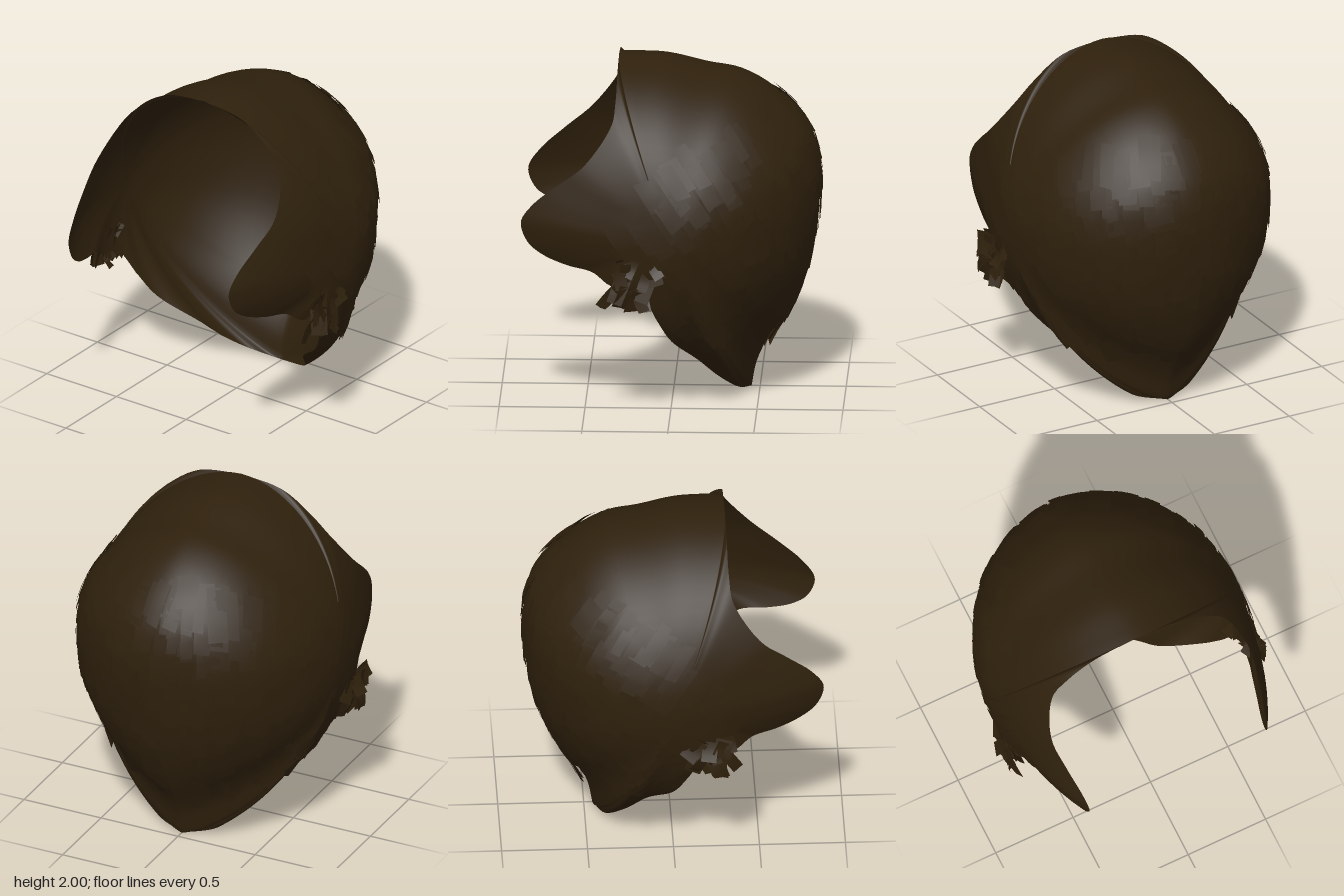
import * as THREE from 'three';
import { mergeGeometries, mergeVertices } from 'three/addons/utils/BufferGeometryUtils.js';

const CENTRE = new THREE.Vector3(0, 1.1, 0);
const HALF_WIDTH = 0.79;

// Outline of one half as [z, y, x]: hairline, sideburn and nape edge
const FRONT = [
  [0.32, 2.0, 0], [0.32, 1.96, 0.27], [0.325, 1.83, 0.46], [0.345, 1.72, 0.56], [0.5, 1.5, 0.64],
  [0.66, 1.37, 0.62], [0.8, 1.25, 0.59], [0.87, 1.14, 0.575], [0.83, 1.02, 0.58], [0.74, 0.95, 0.6],
  [0.6, 0.9, 0.64], [0.45, 0.87, 0.68], [0.35, 0.8, 0.71], [0.16, 0.74, 0.73], [0.08, 0.58, 0.655],
  [0.0, 0.43, 0.57], [-0.15, 0.26, 0.37], [-0.27, 0.14, 0.295], [-0.38, 0.05, 0.2], [-0.45, 0, 0],
];
// Midline from the nape up the back to the crown
const BACK = [
  [-0.45, 0, 0], [-0.48, 0.15, 0], [-0.56, 0.32, 0], [-0.65, 0.45, 0], [-0.77, 0.75, 0], [-0.83, 1.08, 0],
  [-0.84, 1.34, 0], [-0.78, 1.56, 0], [-0.6, 1.78, 0], [-0.4, 1.9, 0], [-0.2, 1.94, 0], [0.05, 1.995, 0], [0.32, 2.0, 0],
];
const toCurve = (points) => new THREE.CatmullRomCurve3(
  points.map(([z, y, x]) => new THREE.Vector3(x, y, z)), false, 'centripetal');

// Exponent of the dome's fall towards the midline: round at the back, leaner at crown and nape
function bump(angle, at, width) {
  const gap = ((angle - at + 3 * Math.PI) % (2 * Math.PI)) - Math.PI;
  return Math.exp(-((gap / width) ** 2));
}
const falloff = (angle) => 0.53 + 0.05 * bump(angle, 1.8, 0.6) + 0.24 * bump(angle, -1.98, 0.5);

// Outline sample: offset from the centre, and how far the dome closes towards x = 0
function edgeFrom(point) {
  const x = Math.max(0, point.x), y = THREE.MathUtils.clamp(point.y, 0, 2) - CENTRE.y;
  const angle = Math.atan2(y, point.z), p = falloff(angle);
  return { y, z: point.z, p, k: 1 - (x / HALF_WIDTH) ** (1 / p), angle, radius: Math.hypot(y, point.z) };
}
const sample = (curve, count) => Array.from({ length: count }, (_, i) => edgeFrom(curve.getPoint(i / count)));
const EDGE = [...sample(toCurve(FRONT), 480), ...sample(toCurve(BACK), 240)];

function nearestEdge(y, z) {
  const angle = Math.atan2(y, z);
  let best = EDGE[0], least = 9;
  for (const e of EDGE) {
    let gap = Math.abs(e.angle - angle);
    if (gap > Math.PI) gap = 2 * Math.PI - gap;
    if (gap < least) { least = gap; best = e; }
  }
  return best;
}

// Move a point along its ray from the centre on to the dome; rho over 1 is past the outline
function snap(point, lift = 0) {
  const q = point.clone().sub(CENTRE);
  const e = nearestEdge(q.y, q.z);
  const rho = Math.hypot(q.y, q.z) / e.radius;
  let low = 0, high = 4;
  for (let n = 0; n < 26; n++) {
    const s = (low + high) / 2;
    if ((Math.abs(q.x) * s / HALF_WIDTH) ** (1 / e.p) + e.k * (rho * s) ** 2 > 1) high = s;
    else low = s;
  }
  const out = q.multiplyScalar(low);
  out.setLength(out.length() + lift).add(CENTRE);
  return { point: out, rho: rho * low, k: e.k };
}

function makeRandom(seed) {
  return () => {
    seed = (seed * 16807) % 2147483647;
    return seed / 2147483647;
  };
}

function geometryFrom(positions, index) {
  const g = new THREE.BufferGeometry();
  g.setAttribute('position', new THREE.Float32BufferAttribute(positions, 3));
  g.setIndex(index);
  return g;
}

// Smooth open shell: rings from each side's centre out to the outline
function makeShell() {
  const rings = 18, around = 144, pos = [], index = [];
  for (const side of [1, -1]) {
    const base = pos.length / 3;
    for (let j = 0; j <= rings; j++) {
      const r = j === rings ? 1 : Math.sin((j / rings) * Math.PI / 2);
      for (let i = 0; i < around; i++) {
        const e = EDGE[i * 5];
        const x = HALF_WIDTH * Math.max(0, 1 - e.k * r * r) ** e.p;
        pos.push(side * x, CENTRE.y + e.y * r, e.z * r);
      }
    }
    for (let j = 0; j < rings; j++) for (let i = 0; i < around; i++) {
      const n = (i + 1) % around;
      const a = base + j * around + i, b = a + around;
      const d = base + j * around + n, c = d + around;
      if (side > 0) index.push(a, b, c, a, c, d);
      else index.push(a, c, b, a, d, c);
    }
  }
  const g = mergeVertices(geometryFrom(pos, index), 1e-4);
  g.computeVertexNormals();
  return g;
}

// Card of hair as a small grid; place(u, v) gives each corner, u and v in 0..1
function makeCard(place, cols = 2, rows = 3) {
  const pos = [], index = [];
  for (let j = 0; j <= rows; j++) for (let i = 0; i <= cols; i++) pos.push(...place(i / cols, j / rows).toArray());
  for (let j = 0; j < rows; j++) for (let i = 0; i < cols; i++) {
    const a = j * (cols + 1) + i, d = a + cols + 1;
    index.push(a, a + 1, d + 1, a, d + 1, d);
  }
  const g = geometryFrom(pos, index);
  g.computeVertexNormals();
  return g;
}

// Overlapping cards over the back and sides, swept down and backwards
function makeLocks() {
  const random = makeRandom(4711), cards = [];
  const rows = 14, columns = 42;
  for (let row = 0; row < rows; row++) for (let col = 0; col < columns; col++) {
    const lat = 0.95 - (row + random() * 1.4) / rows * 1.75;
    const azimuth = ((col + random() * 0.8) / columns - 0.5) * 4.1;
    const dir = new THREE.Vector3(Math.sin(azimuth) * Math.cos(lat), Math.sin(lat), -Math.cos(azimuth) * Math.cos(lat));
    const p = snap(dir.clone().add(CENTRE)).point;
    const topLine = p.z > 0 ? 1.6 - 0.85 * p.z : 1.6 - 0.33 * p.z;
    const width = 0.06 + random() * 0.07, length = 0.2 + random() * 0.14;
    const lift = 0.005 + random() * 0.012, flare = 0.006 + random() * 0.012, slant = (random() - 0.5) * 0.05;
    if (p.y > topLine || p.y < 0.58) continue;

    const side = Math.abs(p.x) / HALF_WIDTH;
    const down = new THREE.Vector3((random() - 0.5) * 0.2, -1, -0.75 * side * side);
    down.addScaledVector(dir, -down.dot(dir)).normalize();
    const across = new THREE.Vector3().crossVectors(down, dir);
    const at = (u, v) => snap(p.clone()
      .addScaledVector(across, (u - 0.5) * width)
      .addScaledVector(down, v * length + (u - 0.5) * slant), lift + flare * v);
    const inside = [[0, 0], [1, 0], [0, 1], [1, 1]].every(([u, v]) => {
      const s = at(u, v);
      return s.k > 0.98 || s.rho < 0.98;
    });
    if (inside) cards.push(makeCard((u, v) => at(u, v).point));
  }
  return mergeGeometries(cards);
}

// Ragged knot of short twisted cards in front of each ear
function makeTuft(side, seed) {
  const random = makeRandom(seed), cards = [];
  const spread = (s) => (random() - 0.5) * s;
  for (let n = 0; n < 30; n++) {
    const start = new THREE.Vector3(side * (0.78 + spread(0.07)), 0.88 + spread(0.2), 0.21 + spread(0.2));
    const down = new THREE.Vector3(side * spread(0.6), -0.8 + spread(0.8), spread(1.1)).normalize();
    const outward = new THREE.Vector3(side, spread(0.9), spread(1.2));
    const across = new THREE.Vector3().crossVectors(down, outward).normalize();
    const bend = new THREE.Vector3().crossVectors(across, down);
    const width = 0.06 + random() * 0.06, length = 0.09 + random() * 0.07, curl = spread(0.08);
    cards.push(makeCard((u, v) => {
      const q = start.clone()
        .addScaledVector(across, (u - 0.5) * width)
        .addScaledVector(down, v * length)
        .addScaledVector(bend, curl * v * v);
      q.x = side * Math.min(0.87, Math.abs(q.x));
      q.y = Math.max(0.67, q.y);
      return q;
    }));
  }
  return mergeGeometries(cards);
}

// Loose strands hanging off the nape
function makeNapeStrands() {
  const cards = [-0.2, -0.13, -0.06].map((x, n) => makeCard((u, v) => snap(
    new THREE.Vector3(x + (u - 0.5) * 0.08, 0.5 - v * (0.24 + 0.08 * (n % 2)), -0.68 + v * 0.14),
    0.015 + 0.03 * v).point));
  return mergeGeometries(cards);
}

export function createModel() {
  const hair = new THREE.MeshStandardMaterial({ color: 0x2e200c, side: THREE.DoubleSide });
  hair.name = 'dark brown hair';

  const model = new THREE.Group();
  model.name = 'hair';
  const add = (name, geometry) => {
    const mesh = new THREE.Mesh(geometry, hair);
    mesh.name = name;
    model.add(mesh);
  };
  add('hairCap', makeShell());
  add('hairLocks', makeLocks());
  add('leftEarTuft', makeTuft(1, 97));
  add('rightEarTuft', makeTuft(-1, 353));
  add('napeStrands', makeNapeStrands());
  return model;
}
